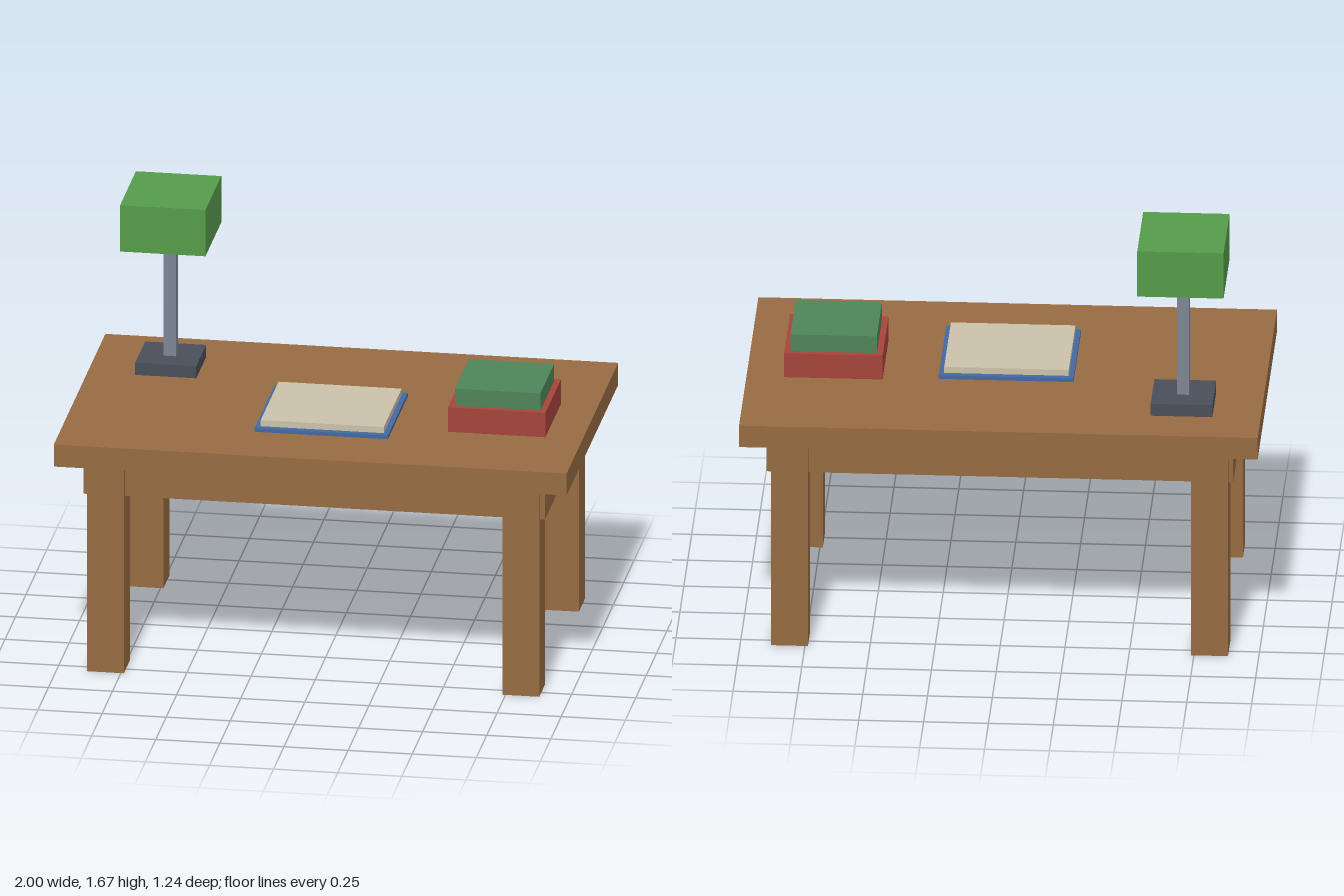
import * as THREE from 'three';

const material = (name, color) => {
  const m = new THREE.MeshStandardMaterial({ color });
  m.name = name;
  return m;
};

export function createModel() {
  const wood = material('brown wood', 0x966b41);
  const shadeGreen = material('shade green', 0x559b4a);
  const cream = material('cream', 0xcbc1ab);
  const steel = material('steel grey', 0x7d8594);
  const darkGrey = material('dark grey', 0x4a4e59);
  const red = material('book red', 0xa5443b);
  const bookGreen = material('book green', 0x4f8459);
  const blue = material('cover blue', 0x43699f);

  // Box given by its centre in x and z, its bottom and top, and its width and depth
  const block = (parent, name, mat, x, z, bottom, top, width, depth) => {
    const mesh = new THREE.Mesh(new THREE.BoxGeometry(width, top - bottom, depth), mat);
    mesh.name = name;
    mesh.position.set(x, (bottom + top) / 2, z);
    parent.add(mesh);
  };
  const model = new THREE.Group();
  model.name = 'deskWithLamp';
  const section = (name) => {
    const g = new THREE.Group();
    g.name = name;
    model.add(g);
    return g;
  };

  // Table: top, solid apron block and four legs
  const table = section('table');
  block(table, 'tableTop', wood, 0, 0, 0.86, 0.95, 2, 1.24);
  block(table, 'apron', wood, 0, 0, 0.72, 0.86, 1.8, 1.05);
  for (const [side, sx] of [['Left', 1], ['Right', -1]]) {
    for (const [end, sz] of [['front', 1], ['back', -1]]) {
      block(table, `${end}${side}Leg`, wood, sx * 0.81, sz * 0.476, 0, 0.86, 0.143, 0.143);
    }
  }

  // Desk lamp
  const lamp = section('lamp');
  block(lamp, 'lampBase', darkGrey, -0.695, -0.31, 0.95, 1.0, 0.238, 0.238);
  block(lamp, 'lampPole', steel, -0.695, -0.31, 1.0, 1.43, 0.048, 0.048);
  block(lamp, 'lampCollar', cream, -0.695, -0.31, 1.43, 1.48, 0.095, 0.095);
  block(lamp, 'lampShade', shadeGreen, -0.695, -0.31, 1.48, 1.67, 0.333, 0.381);

  // Notebook lying on its cover
  const notebook = section('notebook');
  block(notebook, 'notebookCover', blue, 0, 0.116, 0.95, 0.965, 0.52, 0.48);
  block(notebook, 'notebookPages', cream, 0, 0.116, 0.965, 0.99, 0.48, 0.43);

  // Stack of two books
  const books = section('bookStack');
  block(books, 'lowerBook', red, 0.665, 0.047, 0.95, 1.05, 0.38, 0.38);
  block(books, 'upperBook', bookGreen, 0.665, 0.047, 1.05, 1.12, 0.333, 0.333);

  return model;
}
